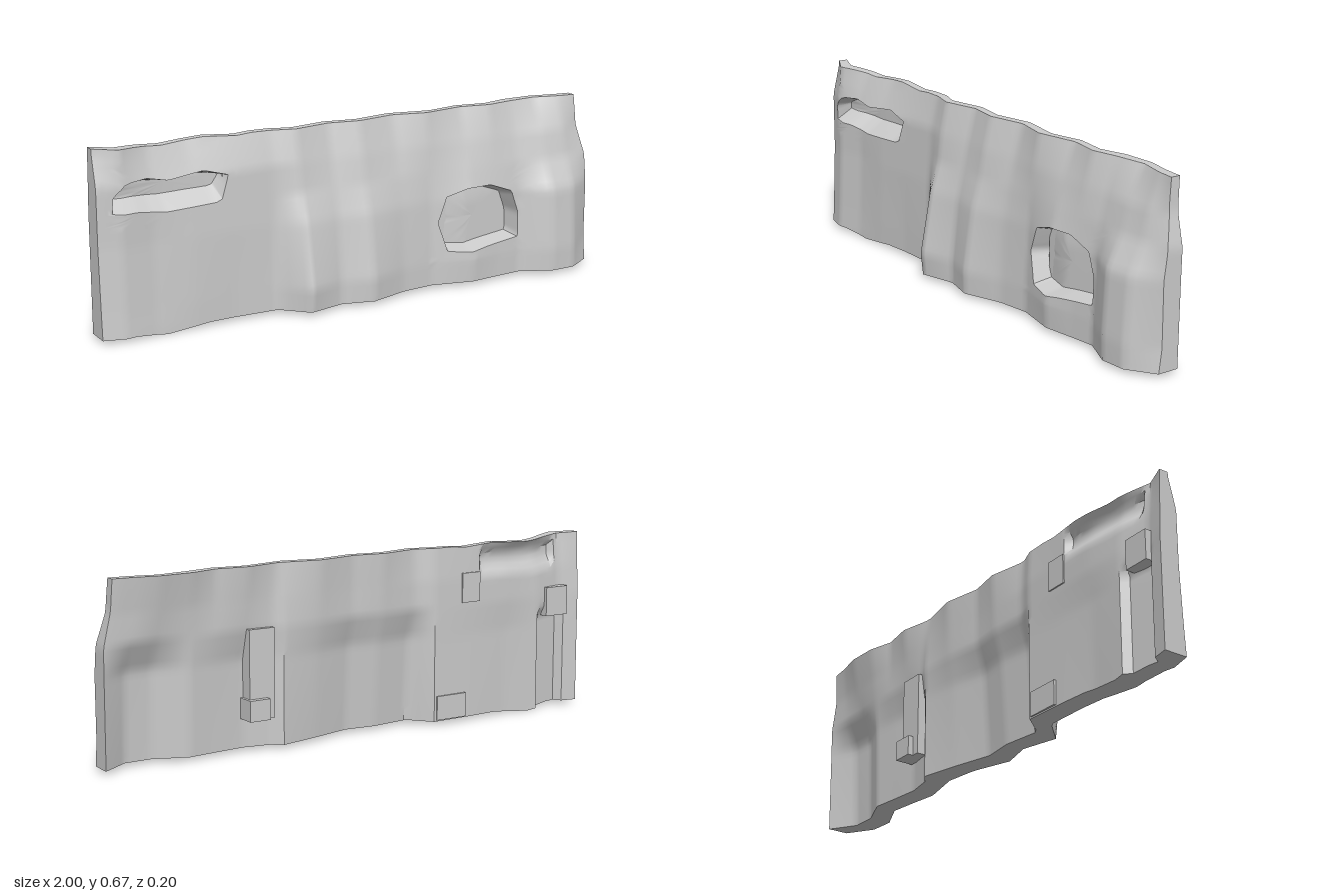
import * as THREE from 'three';
import { mergeGeometries, mergeVertices, toCreasedNormals } from 'three/addons/utils/BufferGeometryUtils.js';

const NX = 100, NY = 32;
const material = new THREE.MeshStandardMaterial({ color: 0xcccccc });

// Piecewise linear lookup
function lookup(keys, values, t) {
  if (t <= keys[0]) return values[0];
  for (let i = 1; i < keys.length; i++) {
    if (t <= keys[i]) {
      return THREE.MathUtils.mapLinear(t, keys[i - 1], keys[i], values[i - 1], values[i]);
    }
  }
  return values[values.length - 1];
}

// Front relief: depth along x at several heights
const frontX = [-1, -0.92, -0.8, -0.65, -0.5, -0.33, -0.24, -0.1, 0.02, 0.17, 0.3, 0.46, 0.58, 0.68, 0.8, 0.9, 1];
const frontY = [0.015, 0.1, 0.33, 0.44, 0.54, 0.66];
const frontRelief = [
  [0.015, 0.035, 0.015, 0.01, 0, 0, 0.09, 0.055, 0.085, 0.035, 0.02, 0.055, 0.04, 0.03, 0.085, 0.08, 0.015],
  [0.01, 0.03, 0.01, 0.01, 0, 0, 0.1, 0.055, 0.088, 0.035, 0.02, 0.06, 0.04, 0.03, 0.088, 0.08, 0.004],
  [0, 0.02, 0, 0.005, 0, -0.005, 0.055, 0.03, 0.052, 0.02, 0.01, 0.045, 0.03, 0.02, 0.075, 0.065, 0.005],
  [0, 0.02, 0, 0, -0.005, -0.01, 0.018, 0.005, 0.018, 0, 0, 0.015, 0.01, 0.005, 0.018, 0.012, -0.01],
  [0, 0.025, 0.005, -0.005, -0.01, -0.015, 0.005, -0.018, 0, -0.025, -0.01, -0.015, -0.01, -0.02, -0.01, -0.01, -0.04],
  [-0.03, 0.012, -0.035, -0.055, -0.05, -0.045, -0.02, -0.05, -0.03, -0.06, -0.03, -0.06, -0.04, -0.06, -0.075, -0.05, -0.04],
];

// Back relief, with steps at two seams
const backX = [-1, -0.92, -0.8, -0.65, -0.5, -0.32, -0.25, -0.1, 0.02, 0.17, 0.33, 0.35, 0.46, 0.58, 0.68, 0.8, 0.9, 1];
const backY = [0.015, 0.33, 0.44, 0.54, 0.66];
const backRelief = [
  [-0.075, -0.06, -0.08, -0.07, -0.08, -0.085, 0, -0.018, -0.005, -0.045, -0.08, -0.05, -0.03, -0.04, -0.05, 0, 0, -0.065],
  [-0.075, -0.06, -0.08, -0.075, -0.08, -0.085, -0.022, -0.04, -0.025, -0.06, -0.08, -0.055, -0.035, -0.05, -0.06, -0.01, -0.015, -0.068],
  [-0.075, -0.055, -0.08, -0.085, -0.085, -0.085, -0.06, -0.07, -0.06, -0.08, -0.083, -0.07, -0.065, -0.07, -0.07, -0.06, -0.065, -0.07],
  [-0.07, -0.05, -0.075, -0.085, -0.085, -0.085, -0.06, -0.075, -0.06, -0.085, -0.075, -0.068, -0.075, -0.07, -0.08, -0.08, -0.07, -0.07],
  [-0.065, -0.035, -0.07, -0.085, -0.082, -0.078, -0.052, -0.082, -0.062, -0.092, -0.062, -0.066, -0.09, -0.072, -0.1, -0.105, -0.085, -0.075],
];
const surfaceZ = (xs, ys, rows, x, y) => lookup(ys, rows.map(r => lookup(xs, r, x)), y);
const frontZ = (x, y) => surfaceZ(frontX, frontY, frontRelief, x, y);

function backZ(x, y) {
  let z = surfaceZ(backX, backY, backRelief, x, y);
  // Set-back strip beside the end and a groove under the top lip
  if (x > -0.93 && x < -0.81) z += lookup([0.36, 0.4], [0.025, 0], y);
  if (x > -0.9 && x < -0.53) z += lookup([0.54, 0.59, 0.63, 0.65], [0, 0.028, 0.024, 0], y);
  return z;
}

// Grid position to wall outline
function outline(i, j) {
  const x = -1 + 2 * i / NX;
  const low = lookup([-0.88, -0.76, -0.6], [0.015, 0, 0.015], x);
  const high = lookup([-1, -0.85, -0.75, -0.58, -0.46, -0.4], [0.672, 0.664, 0.654, 0.664, 0.655, 0.66], x);
  const y = low + (high - low) * j / NY;
  const pull = lookup([0.43, 0.55, 0.66], [0, 0.028, 0.033], y) * lookup([0.88, 1], [0, 1], x);
  return new THREE.Vector2(x - pull, y);
}
const onFront = p => new THREE.Vector3(p.x, p.y, frontZ(p.x, p.y));
const onBack = p => new THREE.Vector3(p.x, p.y, backZ(p.x, p.y));

// Surface through rows of points, optionally leaving cells out
function sheet(rows, skip = () => false) {
  const n = rows[0].length, index = [];
  for (let j = 0; j < rows.length - 1; j++) {
    for (let i = 0; i < n - 1; i++) {
      if (skip(i, j)) continue;
      const a = j * n + i, d = a + n;
      index.push(a, a + 1, d + 1, a, d + 1, d);
    }
  }
  const g = new THREE.BufferGeometry().setFromPoints(rows.flat());
  g.setIndex(index);
  return g;
}

// Closed counter-clockwise walk round a rectangle of grid cells
function perimeter(i0, j0, i1, j1) {
  const pts = [];
  for (let i = i0; i < i1; i++) pts.push(outline(i, j0));
  for (let j = j0; j < j1; j++) pts.push(outline(i1, j));
  for (let i = i1; i > i0; i--) pts.push(outline(i, j1));
  for (let j = j1; j >= j0; j--) pts.push(outline(i0, j));
  return pts;
}

// Where the ray from centre through p meets the opening's edge
function hitEdge(edge, c, p) {
  const d = p.clone().sub(c);
  for (let k = 0; k < edge.length; k++) {
    const a = edge[k].clone().sub(c);
    const e = edge[(k + 1) % edge.length].clone().sub(c).sub(a);
    const det = d.cross(e);
    if (Math.abs(det) < 1e-9) continue;
    const t = a.cross(e) / det, s = a.cross(d) / det;
    if (t > 0 && s >= -1e-6 && s <= 1 + 1e-6) return c.clone().addScaledVector(d, t);
  }
  return c.clone();
}

// Openings: floor is the edge shrunk by taper towards focus
const vec = (x, y) => new THREE.Vector2(x, y);
const vectors = list => list.map(([x, y]) => vec(x, y));
const openings = [
  { name: 'roundNiche', cells: [64, 4, 87, 20], centre: vec(0.5, 0.25), focus: vec(0.5, 0.25), taper: vec(0.9, 0.86),
    edge: vectors([[0.36, 0.14], [0.45, 0.13], [0.52, 0.14], [0.675, 0.155], [0.675, 0.25], [0.645, 0.335],
      [0.55, 0.37], [0.45, 0.37], [0.36, 0.345], [0.325, 0.25]]) },
  { name: 'archedSlot', cells: [1, 19, 26, 29], centre: vec(-0.73, 0.49), focus: vec(-0.73, 0.52), taper: vec(0.95, 0.45),
    edge: vectors([[-0.95, 0.445], [-0.86, 0.445], [-0.75, 0.43], [-0.54, 0.44], [-0.51, 0.53], [-0.6, 0.555],
      [-0.74, 0.54], [-0.82, 0.557], [-0.9, 0.55], [-0.945, 0.51]]) },
];

export function createModel() {
  const group = new THREE.Group();
  const add = (geometry, name) => {
    const mesh = new THREE.Mesh(geometry, material);
    mesh.name = name;
    group.add(mesh);
  };
  const smooth = g => { g.computeVertexNormals(); return g; };
  const creased = g => toCreasedNormals(g, 0.6);

  const points = [];
  for (let j = 0; j <= NY; j++) points.push(Array.from({ length: NX + 1 }, (_, i) => outline(i, j)));

  // Front face with openings, each ringed by a patch
  const front = [sheet(points.map(r => r.map(onFront)), (i, j) =>
    openings.some(({ cells: [a, b, c, d] }) => i >= a && i < c && j >= b && j < d))];
  for (const { name, cells, centre, focus, taper, edge } of openings) {
    const outer = perimeter(...cells);
    const inner = outer.map(p => hitEdge(edge, centre, p));
    const rings = [0, 0.25, 0.5, 0.75, 1].map(t =>
      outer.map((p, k) => onFront(p.clone().lerp(inner[k], t))));
    front.push(sheet(rings));
    // Niche walls and floor
    const floorAt = s => inner.map(p => {
      const q = onBack(p.clone().sub(focus).multiply(taper).multiplyScalar(s).add(focus));
      q.z += 0.012;
      return q;
    });
    add(creased(sheet([inner.map(onFront), floorAt(1)])), name + 'Walls');
    add(smooth(sheet([1, 0.66, 0.33, 0].map(floorAt))), name + 'Floor');
  }
  add(smooth(mergeVertices(mergeGeometries(front), 1e-5)), 'frontFace');

  // Back face and the rim joining the two
  add(creased(sheet(points.map(r => r.map(onBack).reverse()))), 'backFace');
  const rim = perimeter(0, 0, NX, NY);
  add(creased(sheet([rim.map(onBack), rim.map(onFront)])), 'rim');

  // Blocks set into the back
  const block = (name, x0, x1, y0, y1, z0, z1) => {
    const g = new THREE.BoxGeometry(x1 - x0, y1 - y0, z1 - z0);
    g.translate((x0 + x1) / 2, (y0 + y1) / 2, (z0 + z1) / 2);
    add(g, name);
  };
  block('backStrip', 0.36, 0.46, 0.12, 0.44, -0.084, -0.035);
  block('backBracket', 0.39, 0.47, 0.12, 0.195, -0.105, -0.035);
  block('backLowerBlock', -0.46, -0.33, 0.02, 0.11, -0.09, -0.04);
  block('backUpperBlock', -0.52, -0.44, 0.45, 0.56, -0.09, -0.04);
  block('backEndBlock', -0.94, -0.84, 0.36, 0.47, -0.085, -0.04);
  return group;
}
